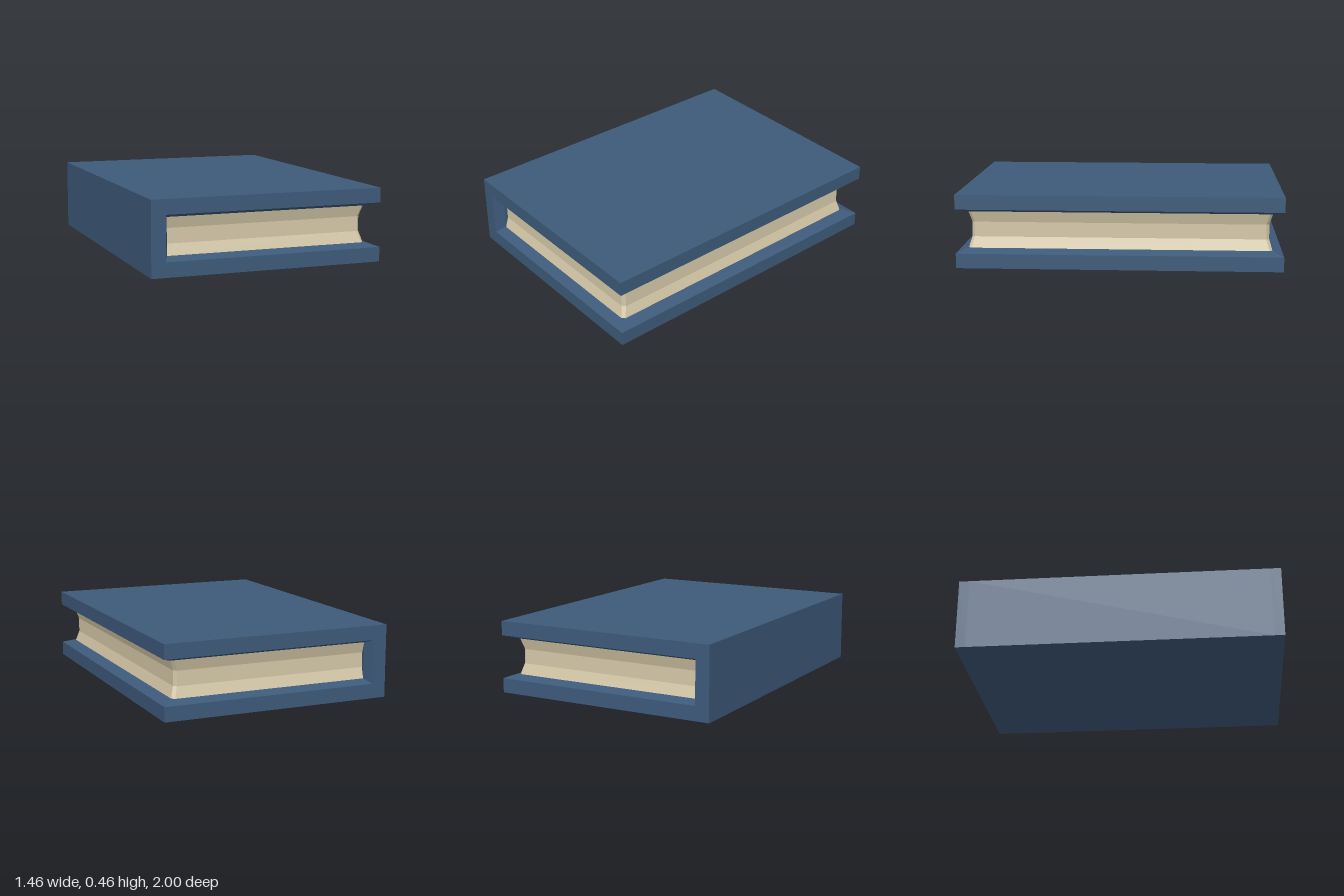
import * as THREE from 'three';

// Skins a stack of equal-length loops with flat faces; caps are lists of [loop, a, b, c, d].
function loft(loops, caps) {
  const n = loops[0].length, pos = loops.flat(2), index = [];
  const quad = (a, b, c, d) => index.push(a, b, c, a, c, d);
  for (let k = 0; k < loops.length - 1; k++) {
    for (let i = 0; i < n; i++) {
      const j = (i + 1) % n, p = k * n, q = p + n;
      quad(p + i, p + j, q + j, q + i);
    }
  }
  for (const [k, ...c] of caps) quad(...c.map((i) => k * n + i));
  const indexed = new THREE.BufferGeometry();
  indexed.setAttribute('position', new THREE.Float32BufferAttribute(pos, 3));
  indexed.setIndex(index);
  const g = indexed.toNonIndexed();
  g.computeVertexNormals();
  return g;
}

const W = 0.73, H = 0.456, D = 1;

// C-shaped cover section: the mouth narrows from the rim to the page block
function coverLoop(z, atRim) {
  const slopeX = atRim ? W : 0.657;
  const spineX = atRim ? -0.64 : -0.615;
  const lo = atRim ? 0.091 : 0.114;
  const hi = H - lo;
  return [
    [-W, 0], [W, 0], [W, 0.091], [slopeX, lo], [spineX, lo],
    [spineX, hi], [slopeX, hi], [W, H - 0.091], [W, H], [-W, H],
  ].map(([x, y]) => [x, y, z]);
}

// Page section at one height, with clipped corners on the open side
function pageLoop(y, inset) {
  const x = 0.657 - inset, z = 0.935 - inset, b = 0.018, left = -0.63;
  return [[left, z], [x - b, z], [x, z - b], [x, b - z], [x - b, -z], [left, -z]]
    .map(([px, pz]) => [px, y, pz]);
}

export function createModel() {
  const blue = new THREE.MeshStandardMaterial({ color: 0x3d5a7a });
  blue.name = 'coverBlue';
  const cream = new THREE.MeshStandardMaterial({ color: 0xd6c9a9 });
  cream.name = 'paperCream';
  const book = new THREE.Group();
  book.name = 'book';

  // Cover: both boards and the spine in one piece
  const ends = [[0, 1, 2, 4], [0, 4, 5, 9], [5, 7, 8, 9]];
  const cover = new THREE.Mesh(loft(
    [coverLoop(-D, true), coverLoop(-0.935, false), coverLoop(0.935, false), coverLoop(D, true)],
    [...ends.map((e) => [3, ...e]), ...ends.map((e) => [0, ...[...e].reverse()])],
  ), blue);
  cover.name = 'cover';

  // Page block with hollowed edges
  const rows = [[0.112, 0], [0.182, 0.021], [0.274, 0.021], [0.344, 0]];
  const pages = new THREE.Mesh(loft(
    rows.map(([y, inset]) => pageLoop(y, inset)),
    [[3, 0, 1, 4, 5], [3, 1, 2, 3, 4], [0, 5, 4, 1, 0], [0, 4, 3, 2, 1]],
  ), cream);
  pages.name = 'pages';

  book.add(cover, pages);
  return book;
}
